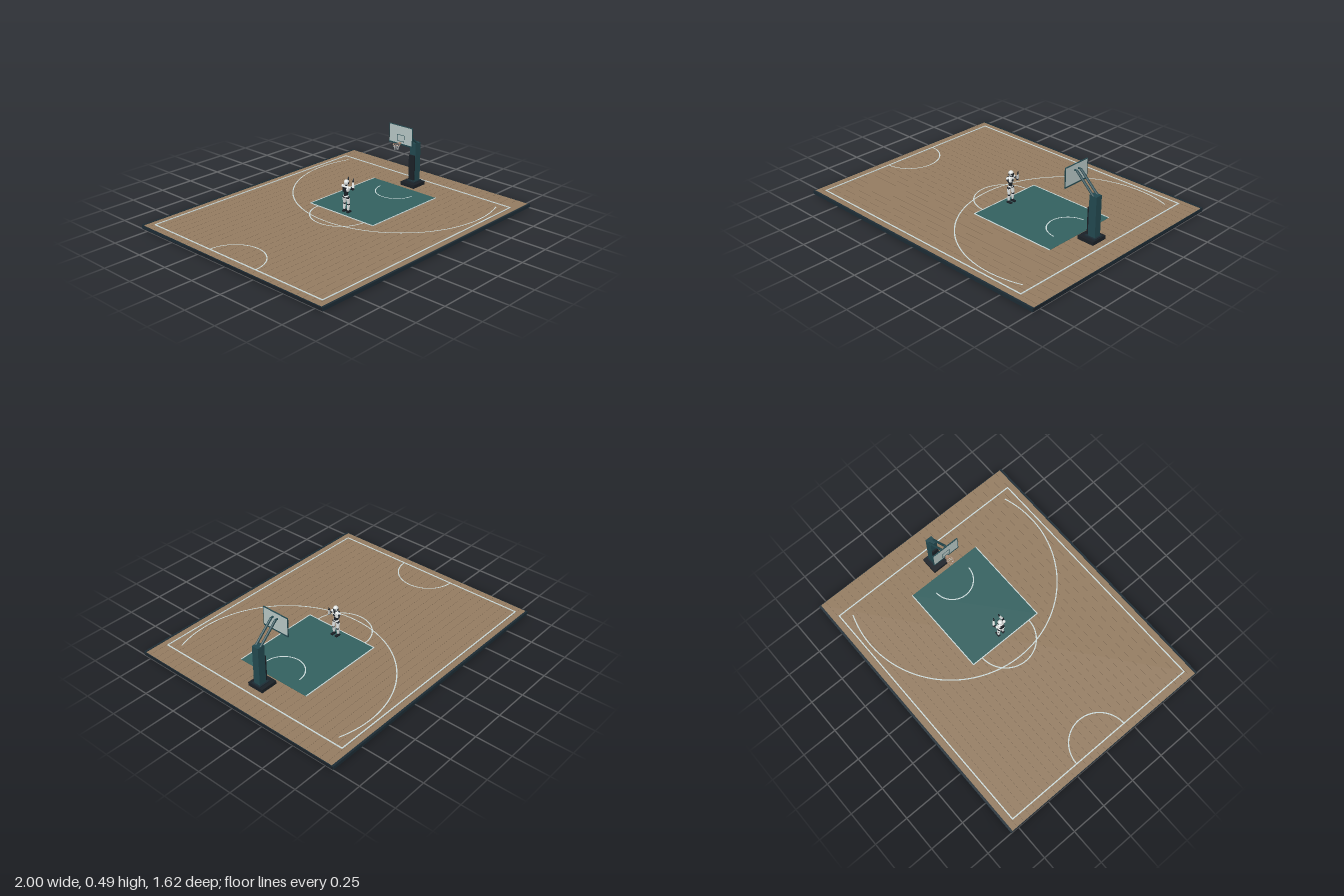
import * as THREE from 'three';

const mat = (name, hex) => {
  const m = new THREE.MeshStandardMaterial({ color: hex });
  m.name = name;
  return m;
};

export function createModel() {
  const M = {
    dark: mat('charcoal', 0x1a2026),
    rail: mat('navy', 0x1c2b34),
    wood: mat('wood', 0x937b60),
    seam: mat('wood seam', 0x6d5a46),
    teal: mat('court teal', 0x33605f),
    post: mat('post teal', 0x22484f),
    line: mat('line white', 0xcad8d8),
    glass: mat('board grey', 0xb4c4c2),
    white: mat('shell white', 0xdfe3e2),
    rim: mat('rim tan', 0xa88670),
  };
  M.line.side = THREE.DoubleSide;
  const root = new THREE.Group();

  const add = (parent, name, geo, m, x = 0, y = 0, z = 0) => {
    const mesh = new THREE.Mesh(geo, m);
    mesh.name = name;
    mesh.position.set(x, y, z);
    parent.add(mesh);
    return mesh;
  };
  // Box given by its limits on each axis
  const box = (parent, name, m, x0, x1, y0, y1, z0, z1) =>
    add(parent, name, new THREE.BoxGeometry(x1 - x0, y1 - y0, z1 - z0), m,
      (x0 + x1) / 2, (y0 + y1) / 2, (z0 + z1) / 2);
  // Round bar between two points
  const bar = (parent, name, m, a, b, r0, r1 = r0, sides = 10) => {
    const p = new THREE.Vector3(...a), q = new THREE.Vector3(...b);
    const d = q.clone().sub(p);
    const mesh = add(parent, name, new THREE.CylinderGeometry(r1, r0, d.length(), sides), m);
    mesh.position.copy(p).add(q).multiplyScalar(0.5);
    mesh.quaternion.setFromUnitVectors(new THREE.Vector3(0, 1, 0), d.normalize());
    return mesh;
  };
  const ball = (parent, name, m, x, y, z, rx, ry = rx, rz = rx) => {
    const mesh = add(parent, name, new THREE.SphereGeometry(1, 16, 12), m, x, y, z);
    mesh.scale.set(rx, ry, rz);
    return mesh;
  };

  // Court slab, wooden floor and edge rails
  const court = new THREE.Group();
  court.name = 'court';
  root.add(court);
  box(court, 'slab', M.dark, -1, 1, 0, 0.02, -0.805, 0.805);
  box(court, 'floor', M.wood, -0.998, 0.998, 0.02, 0.025, -0.795, 0.795);
  for (const s of [-1, 1]) {
    box(court, 'sideRail', M.rail, -1, 1, 0.004, 0.027, s * 0.803 - 0.007, s * 0.803 + 0.007);
    box(court, 'endRail', M.rail, s * 0.9985 - 0.0015, s * 0.9985 + 0.0015, 0.004, 0.0255, -0.805, 0.805);
  }
  // Narrow seams between boards
  for (let i = -14; i <= 14; i++)
    box(court, 'seam', M.seam, -0.99, 0.99, 0.0245, 0.0253, i * 0.054 - 0.0006, i * 0.054 + 0.0006);
  box(court, 'key', M.teal, 0, 0.65, 0.025, 0.0268, -0.28, 0.28);

  // Painted lines
  const w = 0.004;
  const lineBox = (name, x0, x1, z0, z1) => box(court, name, M.line, x0, x1, 0.025, 0.0285, z0, z1);
  for (const s of [-1, 1]) {
    lineBox('sideline', -0.945, 0.858, s * 0.748 - w, s * 0.748 + w);
    lineBox('keySideLine', 0, 0.65, s * 0.28 - w * 0.8, s * 0.28 + w * 0.8);
  }
  for (const x of [-0.941, 0.855]) lineBox('endLine', x - w, x + w, -0.752, 0.752);
  lineBox('freeThrowLine', -w * 0.6, w, -0.28, 0.28);
  const arc = (name, x, r, start, len) => {
    const g = new THREE.RingGeometry(r - w, r + w, 72, 1, start, len);
    add(court, name, g.rotateX(-Math.PI / 2), M.line, x, 0.0283, 0);
  };
  const open = Math.atan2(0.675, 0.24);
  arc('threePointArc', 0.56, 0.715, open, 2 * (Math.PI - open));
  arc('freeThrowArc', 0, 0.205, Math.PI / 2, Math.PI);
  arc('restrictedArc', 0.56, 0.143, Math.PI / 2, Math.PI);
  arc('centreArc', -0.941, 0.206, -Math.PI / 2, Math.PI);

  // Hoop stand
  const hoop = new THREE.Group();
  hoop.name = 'hoop';
  root.add(hoop);
  box(hoop, 'standBase', M.dark, 0.68, 0.803, 0.025, 0.05, -0.06, 0.06);
  box(hoop, 'standFoot', M.rail, 0.715, 0.797, 0.05, 0.057, -0.035, 0.035);
  box(hoop, 'post', M.post, 0.732, 0.787, 0.05, 0.335, -0.025, 0.025);
  box(hoop, 'postPad', M.dark, 0.721, 0.732, 0.065, 0.248, -0.024, 0.024);
  for (const z of [-0.018, 0.018]) {
    bar(hoop, 'arm', M.post, [0.76, 0.328, z], [0.622, 0.456, z], 0.008);
    bar(hoop, 'armTip', M.post, [0.628, 0.456, z], [0.604, 0.456, z], 0.006);
  }
  // Backboard with frame and target square
  box(hoop, 'backboard', M.glass, 0.599, 0.604, 0.36, 0.492, -0.1, 0.1);
  for (const s of [-1, 1]) {
    box(hoop, 'boardSide', M.post, 0.5975, 0.6055, 0.358, 0.494, s * 0.1 - 0.0015, s * 0.1 + 0.0015);
    box(hoop, 'targetSide', M.post, 0.5975, 0.599, 0.383, 0.428, s * 0.03 - 0.0015, s * 0.03 + 0.0015);
  }
  box(hoop, 'boardTop', M.post, 0.5975, 0.6055, 0.491, 0.494, -0.1, 0.1);
  box(hoop, 'boardBottom', M.post, 0.5975, 0.6055, 0.358, 0.367, -0.1, 0.1);
  for (const y of [0.383, 0.428])
    box(hoop, 'targetBar', M.post, 0.5975, 0.599, y - 0.0015, y + 0.0015, -0.0315, 0.0315);
  // Rim and net
  const cx = 0.556, ry = 0.372, rr = 0.024;
  add(hoop, 'rim', new THREE.TorusGeometry(rr, 0.0025, 8, 32).rotateX(Math.PI / 2), M.rim, cx, ry, 0);
  box(hoop, 'rimBracket', M.rim, cx + rr - 0.001, 0.599, ry - 0.003, ry + 0.003, -0.009, 0.009);
  const knot = (i, level) => {
    const a = (i + level / 2) * Math.PI / 5;
    const r = rr - level * 0.0037;
    return [cx + r * Math.cos(a), ry - level * 0.0125, r * Math.sin(a)];
  };
  for (let l = 0; l < 3; l++)
    for (let i = 0; i < 10; i++)
      for (const k of [0, -1])
        bar(hoop, 'netCord', M.white, knot(i, l), knot(i + k, l + 1), 0.0008, 0.0008, 4);

  // Robot player, facing the hoop
  const player = new THREE.Group();
  player.name = 'player';
  player.position.set(0.055, 0.027, 0);
  root.add(player);
  const P = (name, m, ...v) => ball(player, name, m, ...v);
  for (const s of [-1, 1]) {
    // Leg
    box(player, 'foot', M.dark, -0.014, 0.022, 0, 0.009, s * 0.018 - 0.009, s * 0.018 + 0.009);
    P('ankle', M.dark, -0.003, 0.015, s * 0.018, 0.007);
    bar(player, 'shin', M.white, [-0.003, 0.018, s * 0.018], [0, 0.054, s * 0.018], 0.0075, 0.011);
    P('knee', M.dark, 0.001, 0.058, s * 0.018, 0.0095);
    bar(player, 'thigh', M.white, [0.001, 0.064, s * 0.018], [-0.004, 0.1, s * 0.016], 0.01, 0.0135);
    P('hip', M.dark, -0.004, 0.106, s * 0.015, 0.012);
    // Arm raised in front
    P('shoulder', M.white, -0.003, 0.178, s * 0.03, 0.0105);
    bar(player, 'upperArm', M.dark, [-0.002, 0.175, s * 0.033], [0.021, 0.165, s * 0.037], 0.007);
    P('elbow', M.dark, 0.022, 0.165, s * 0.037, 0.0095);
    bar(player, 'forearm', M.white, [0.025, 0.168, s * 0.036], [0.037, 0.203, s * 0.025], 0.0085, 0.0065);
    P('hand', M.dark, 0.039, 0.211, s * 0.023, 0.006, 0.009, 0.006);
    bar(player, 'fingers', M.dark, [0.04, 0.215, s * 0.023], [0.045, 0.229, s * 0.021], 0.004, 0.003);
    // Ear disc
    P('ear', M.dark, 0, 0.208, s * 0.018, 0.006, 0.006, 0.003);
  }
  // Body and head
  P('pelvis', M.white, -0.004, 0.113, 0, 0.015, 0.011, 0.022);
  bar(player, 'waist', M.dark, [-0.004, 0.115, 0], [-0.003, 0.148, 0], 0.014, 0.014, 14);
  P('chest', M.white, -0.002, 0.164, 0, 0.019, 0.024, 0.028);
  box(player, 'backPack', M.dark, -0.025, -0.015, 0.148, 0.178, -0.014, 0.014);
  P('chestPlate', M.dark, 0.014, 0.163, 0, 0.005, 0.009, 0.01);
  bar(player, 'neck', M.dark, [-0.001, 0.184, 0], [0, 0.194, 0], 0.008);
  P('head', M.white, 0, 0.209, 0, 0.0185, 0.0195, 0.0175);
  P('visor', M.dark, 0.009, 0.208, 0, 0.0115, 0.009, 0.0142);

  return root;
}
